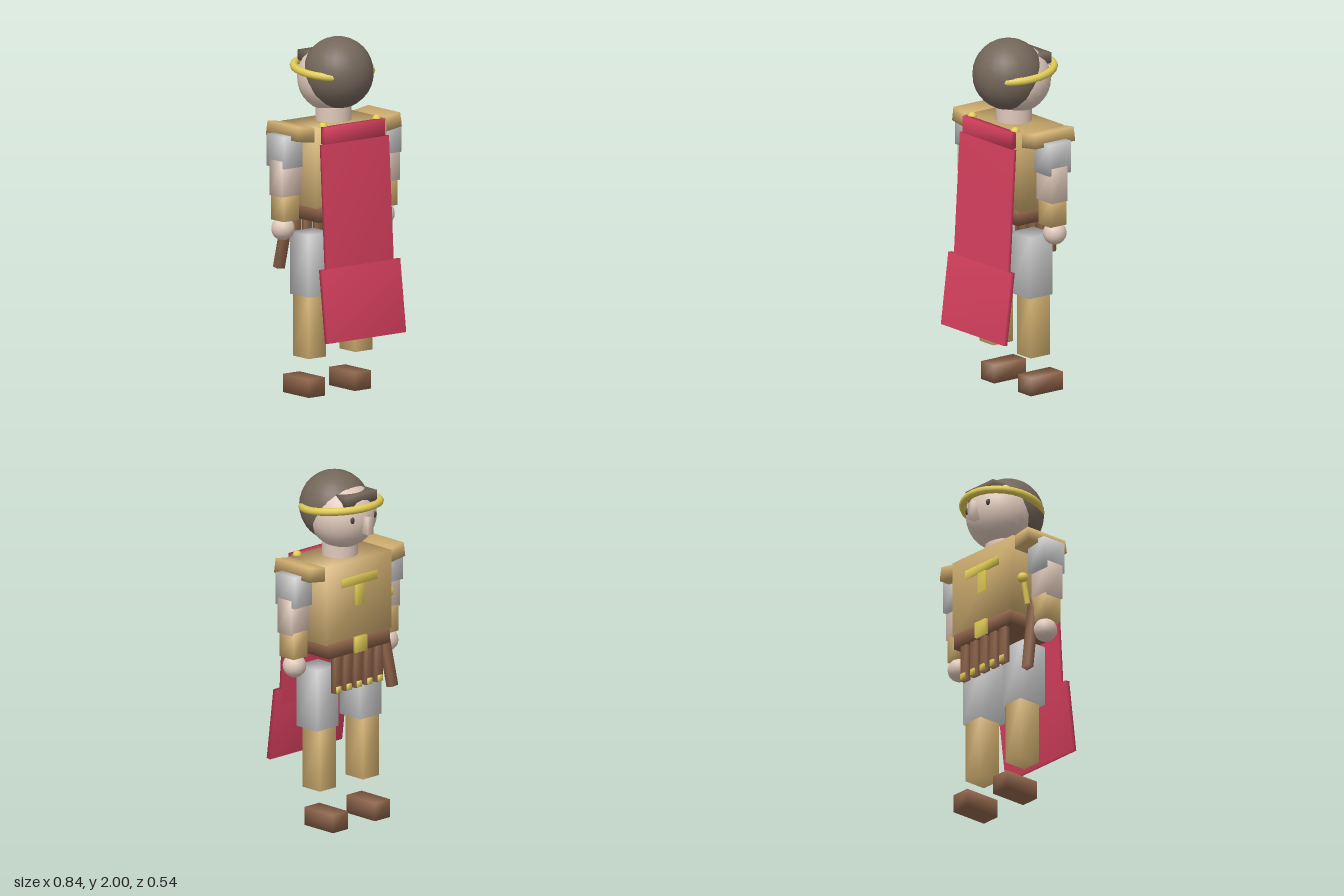
import * as THREE from 'three';
import { mergeVertices } from 'three/addons/utils/BufferGeometryUtils.js';

const paint = (color) => new THREE.MeshStandardMaterial({ color });
const GREY = paint(0xcccccc), ARMOUR = paint(0xd2b071), GOLD = paint(0xe2cc55), LEATHER = paint(0x8c6248);
const SKIN = paint(0xe0c9bb), HAIR = paint(0x74665a), RED = paint(0xd8405f), DARK = paint(0x4a403a);

export function createModel() {
  const model = new THREE.Group();
  model.name = 'caped soldier';

  const add = (name, geometry, material, x, y, z) => {
    const mesh = new THREE.Mesh(geometry, material);
    mesh.name = name;
    mesh.position.set(x, y, z);
    model.add(mesh);
    return mesh;
  };

  // Box with shared corners, so the shading runs softly round the edges
  const softBox = (w, h, d) => {
    const g = new THREE.BoxGeometry(w, h, d);
    g.deleteAttribute('uv');
    g.deleteAttribute('normal');
    const merged = mergeVertices(g);
    merged.computeVertexNormals();
    return merged;
  };
  // Box given by its extents along each axis
  const block = (name, material, [x0, x1], [y0, y1], [z0, z1]) =>
    add(name, softBox(x1 - x0, y1 - y0, z1 - z0), material, (x0 + x1) / 2, (y0 + y1) / 2, (z0 + z1) / 2);
  const ball = (name, material, r, x, y, z, w = 12, h = 8) =>
    add(name, new THREE.SphereGeometry(r, w, h), material, x, y, z);
  // Part running from one point to another along its own y axis
  const between = (name, geometry, material, a, b) => {
    const from = new THREE.Vector3(...a), to = new THREE.Vector3(...b);
    const mid = from.clone().add(to).multiplyScalar(0.5);
    const mesh = add(name, geometry, material, mid.x, mid.y, mid.z);
    mesh.quaternion.setFromUnitVectors(new THREE.Vector3(0, 1, 0), to.sub(from).normalize());
    return mesh;
  };

  // Head (the face looks towards -z)
  ball('head', SKIN, 0.19, 0, 1.765, -0.045, 24, 16);
  ball('hair', HAIR, 0.2, 0, 1.8, 0.016, 24, 16).scale.x = 0.97;
  block('fringe', HAIR, [-0.113, 0.113], [1.85, 1.91], [-0.2, -0.1]);
  block('nose', SKIN, [-0.022, 0.022], [1.69, 1.79], [-0.267, -0.2]);
  for (const s of [-1, 1]) ball('eye', DARK, 0.016, s * 0.085, 1.775, -0.21).scale.set(0.8, 1.2, 0.8);
  add('headband', new THREE.TorusGeometry(0.215, 0.022, 8, 28), GOLD, 0, 1.82, -0.035).rotation.x = Math.PI / 2 + 0.11;
  add('neck', new THREE.CylinderGeometry(0.1, 0.1, 0.12, 18), SKIN, 0, 1.55, -0.025);

  // Torso, chest ornament and belt
  block('breastplate', ARMOUR, [-0.25, 0.25], [1.08, 1.53], [-0.175, 0.13]);
  block('chestBar', GOLD, [-0.135, 0.135], [1.39, 1.44], [-0.185, -0.165]);
  block('chestStem', GOLD, [-0.033, 0.033], [1.27, 1.39], [-0.185, -0.165]);
  block('belt', LEATHER, [-0.235, 0.235], [1.0, 1.085], [-0.178, 0.137]);
  block('buckle', GOLD, [-0.045, 0.045], [1.0, 1.09], [-0.195, -0.17]);

  // Studded straps hanging from the belt
  for (let i = -2; i <= 2; i++) {
    const x = i * 0.08;
    block('strap', LEATHER, [x - 0.026, x + 0.026], [0.79, 1.01], [-0.174, -0.145]);
    block('strapStud', GOLD, [x - 0.016, x + 0.016], [0.795, 0.828], [-0.184, -0.165]);
  }

  // Arms and legs on both sides
  for (const s of [-1, 1]) {
    const side = (name, material, [x0, x1], y, z) =>
      block(name, material, s > 0 ? [x0, x1] : [-x1, -x0], y, z);

    add('shoulderPad', softBox(0.16, 0.08, 0.278), ARMOUR, s * 0.285, 1.495, -0.023).rotation.z = s * 0.15;
    side('sleeve', GREY, [0.286, 0.416], [1.31, 1.49], [-0.097, 0.057]);
    side('forearm', SKIN, [0.284, 0.419], [1.15, 1.35], [-0.07, 0.04]);
    side('bracer', ARMOUR, [0.296, 0.404], [1.01, 1.16], [-0.074, 0.037]);
    ball('hand', SKIN, 0.066, s * 0.355, 0.96, -0.03, 14, 10);

    side('thigh', GREY, [0.083, 0.248], [0.57, 0.92], [-0.1, 0.063]);
    side('shin', ARMOUR, [0.104, 0.227], [0.22, 0.57], [-0.1, 0.037]);
    side('shoe', LEATHER, [0.105, 0.22], [0, 0.103], [-0.195, 0.03]);

    ball('capeClasp', GOLD, 0.026, s * 0.19, 1.53, 0.118);
  }

  // Cape: collar, back panel and wider hem
  block('capeCollar', RED, [-0.215, 0.212], [1.44, 1.535], [0.13, 0.164]);
  between('capePanel', softBox(0.475, 0.78, 0.02), RED, [0, 0.66, 0.204], [0, 1.44, 0.157]);
  between('capeHem', softBox(0.555, 0.41, 0.027), RED, [0, 0.345, 0.255], [0, 0.75, 0.203]);

  // Sheathed sword on the right hip
  between('scabbard', softBox(0.053, 0.455, 0.04), LEATHER, [-0.31, 0.72, -0.122], [-0.277, 1.17, -0.045]);
  between('swordGrip', new THREE.CylinderGeometry(0.016, 0.016, 0.15, 10), GOLD, [-0.275, 1.13, -0.09], [-0.275, 1.27, -0.12]);
  ball('swordPommel', GOLD, 0.031, -0.275, 1.275, -0.125);

  return model;
}
